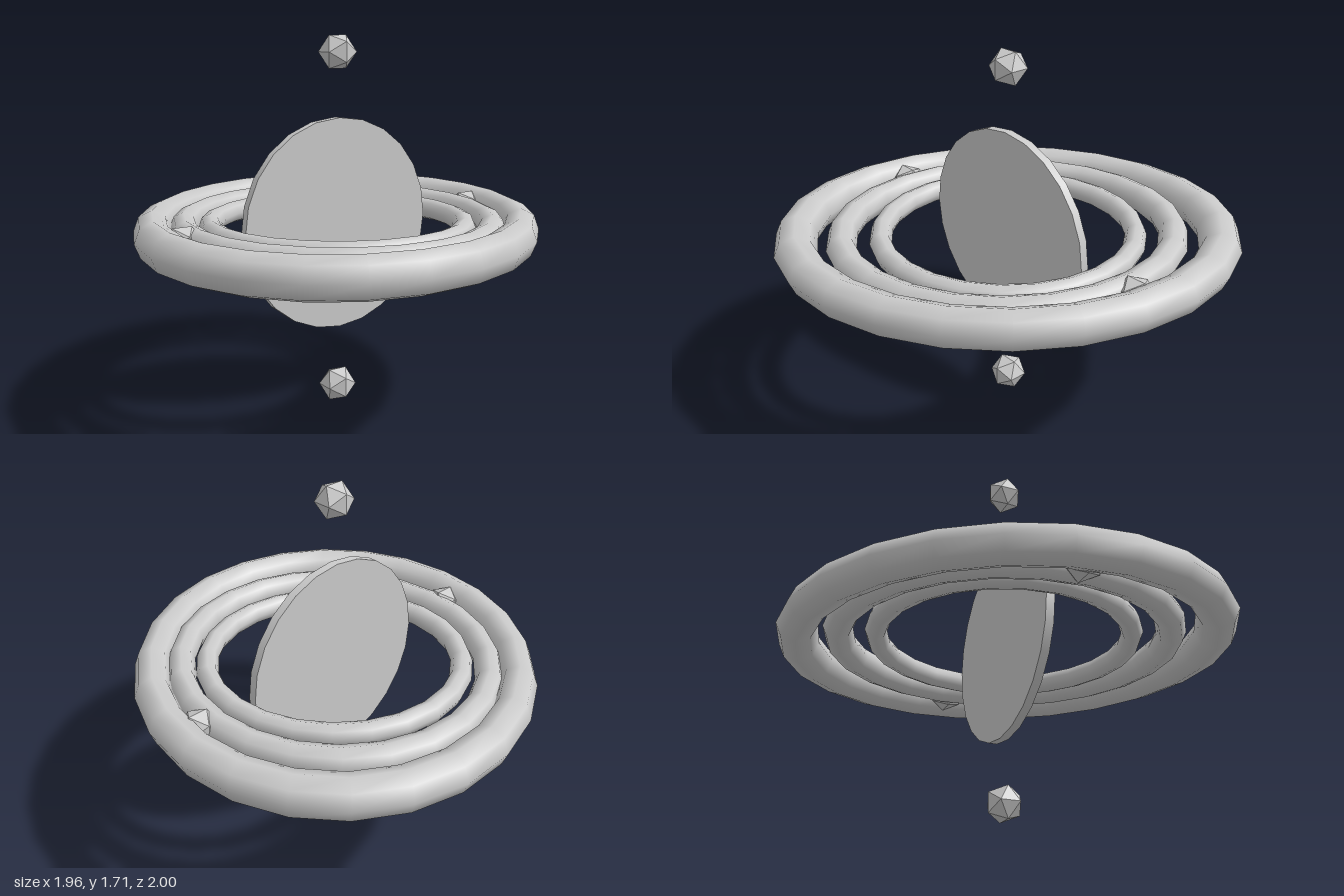
import * as THREE from 'three';

const CENTRE_Y = 0.855;

export function createModel() {
  const model = new THREE.Group();
  model.name = 'ringedDisc';
  const material = new THREE.MeshStandardMaterial({ color: 0xcccccc });

  function add(name, geometry, x = 0, y = CENTRE_Y) {
    const mesh = new THREE.Mesh(geometry, material);
    mesh.name = name;
    mesh.position.set(x, y, 0);
    model.add(mesh);
  }

  // Flat-lying ring, narrowed in x and skewed in z
  function ring(radius, tube, scaleX, skewZ) {
    const skew = new THREE.Matrix4().makeBasis(
      new THREE.Vector3(scaleX, 0, skewZ),
      new THREE.Vector3(0, 1, 0),
      new THREE.Vector3(0, 0, 1)
    );
    return new THREE.TorusGeometry(radius, tube, 8, 24).rotateX(Math.PI / 2).applyMatrix4(skew);
  }

  // Upright central disc facing front
  add('disc', new THREE.CylinderGeometry(0.49, 0.49, 0.04, 24).rotateX(Math.PI / 2));

  // Three nested rings
  add('innerRing', ring(0.588, 0.051, 0.993, 0));
  add('middleRing', ring(0.746, 0.067, 0.963, -0.075));
  add('outerRing', ring(0.905, 0.09, 0.984, -0.154));

  // Faceted studs: above, below, and set between the outer two rings
  const stud = new THREE.IcosahedronGeometry(0.0865);
  add('topStud', stud, 0, 1.636);
  add('bottomStud', stud, 0, 0.074);
  add('leftStud', stud, 0.775);
  add('rightStud', stud, -0.775);

  return model;
}
